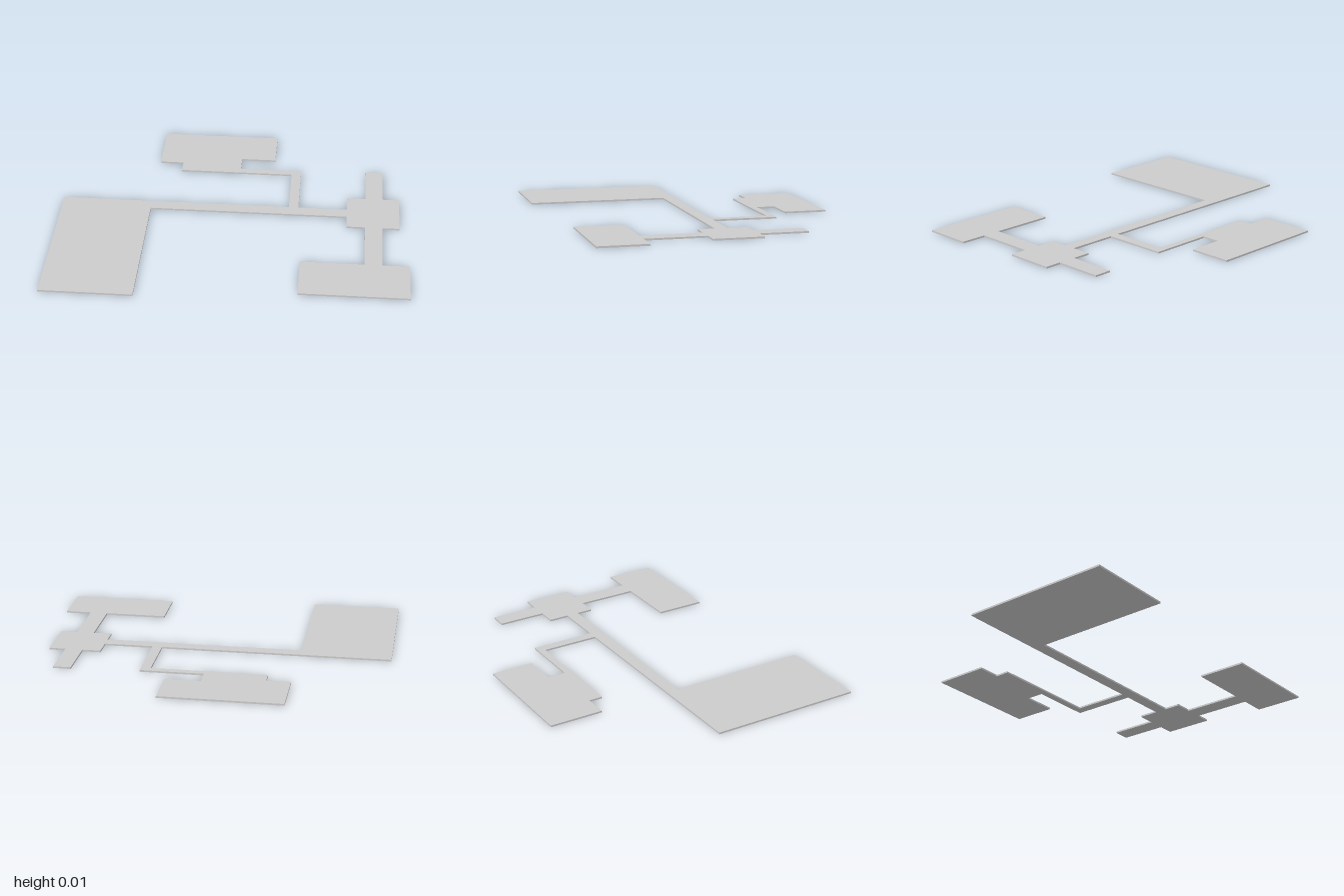
import * as THREE from 'three';

const THICKNESS = 0.01;

// Plan outline as [x, z] corners
const OUTLINE = [
  // corridor, back edge
  [-1, -0.075], [0.31, -0.075],
  // narrow passage and back room
  [0.31, -0.405], [-0.345, -0.405], [-0.345, -0.485], [-0.48, -0.485],
  [-0.48, -0.795], [0.205, -0.795], [0.205, -0.55], [0.005, -0.55],
  [0.005, -0.445], [0.365, -0.445], [0.365, -0.075],
  // crossing hall with its back stub
  [0.645, -0.075], [0.645, -0.19], [0.75, -0.19], [0.75, -0.465],
  [0.85, -0.465], [0.85, -0.19], [0.945, -0.19], [0.945, 0.09], [0.85, 0.09],
  // front room
  [0.85, 0.435], [1, 0.435], [1, 0.715], [0.395, 0.715], [0.395, 0.435],
  [0.75, 0.435], [0.75, 0.09], [0.645, 0.09],
  // corridor front edge and large room
  [0.645, -0.005], [-0.485, -0.005], [-0.485, 0.795], [-1, 0.795],
];

export function createModel() {
  const group = new THREE.Group();
  group.name = 'floorPlan';

  // One continuous slab, drawn in plan and laid flat
  const shape = new THREE.Shape(OUTLINE.map(([x, z]) => new THREE.Vector2(x, -z)));
  const geometry = new THREE.ExtrudeGeometry(shape, { depth: THICKNESS, bevelEnabled: false });
  geometry.rotateX(-Math.PI / 2);

  const slab = new THREE.Mesh(geometry, new THREE.MeshStandardMaterial({ color: 0xcccccc }));
  slab.name = 'floorSlab';
  group.add(slab);
  return group;
}
